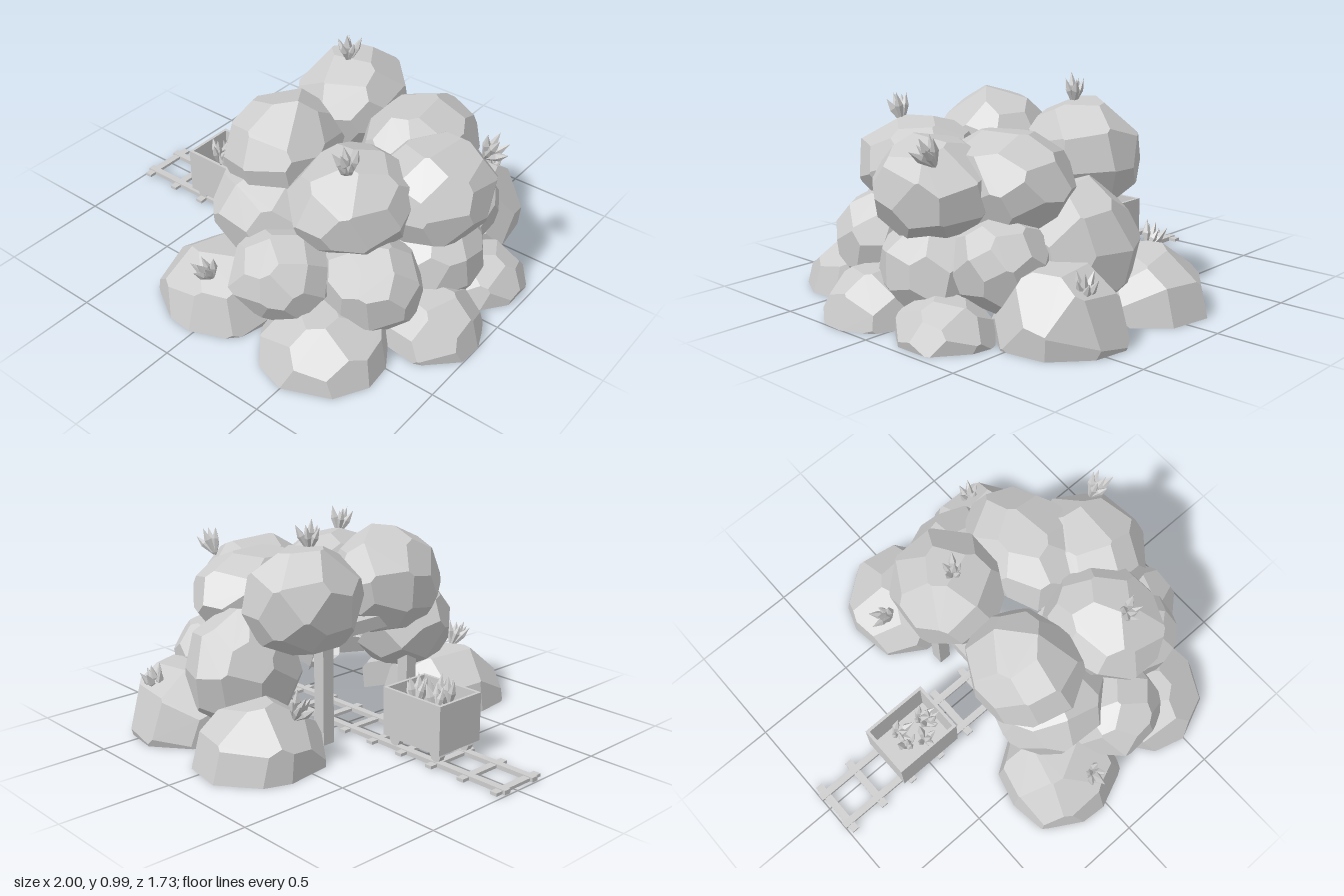
import * as THREE from 'three';
import { ConvexGeometry } from 'three/addons/geometries/ConvexGeometry.js';

const material = new THREE.MeshStandardMaterial({ color: 0xcccccc, flatShading: true });
const openMaterial = new THREE.MeshStandardMaterial({ color: 0xcccccc, flatShading: true, side: THREE.DoubleSide });

// Small seeded generator
let seed = 11;
const rand = () => {
  seed = (seed * 16807) % 2147483647;
  return seed / 2147483647;
};
const vary = (a) => (rand() - 0.5) * 2 * a;

function add(parent, name, geometry, x = 0, y = 0, z = 0) {
  const mesh = new THREE.Mesh(geometry, material);
  mesh.name = name;
  mesh.position.set(x, y, z);
  parent.add(mesh);
  return mesh;
}
const box = (parent, name, w, h, d, x, y, z) =>
  add(parent, name, new THREE.BoxGeometry(w, h, d), x, y, z);

// Boulders: centre and radii
const boulders = [
  // ground ring
  [-0.06, 0.0, -0.58, 0.28, 0.27, 0.28],
  [-0.06, 0.0, 0.57, 0.28, 0.27, 0.28],
  [0.46, 0.03, -0.56, 0.27, 0.29, 0.27],
  [0.5, 0.0, 0.57, 0.28, 0.23, 0.28],
  [0.77, 0.0, -0.22, 0.2, 0.18, 0.21],
  [0.78, 0.0, 0.19, 0.22, 0.22, 0.22],
  // middle ring
  [0.27, 0.3, 0.56, 0.22, 0.19, 0.21],
  [0.58, 0.28, 0.36, 0.22, 0.21, 0.2],
  [0.64, 0.23, -0.02, 0.22, 0.22, 0.24],
  [0.55, 0.28, -0.32, 0.2, 0.2, 0.21],
  [0.22, 0.31, -0.43, 0.24, 0.28, 0.27],
  [0.04, 0.42, 0.37, 0.26, 0.22, 0.24],
  // crown
  [0.0, 0.64, -0.27, 0.24, 0.24, 0.27],
  [0.0, 0.64, 0.23, 0.24, 0.24, 0.27],
  [0.41, 0.58, -0.21, 0.24, 0.22, 0.31],
  [0.43, 0.59, 0.29, 0.25, 0.21, 0.28],
  [0.62, 0.56, -0.02, 0.26, 0.22, 0.28],
];
// Tunnel chamber inside the mound
const chamber = [0.35, 0.15, 0.02, 0.4, 0.4, 0.45];

const inside = ([cx, cy, cz, rx, ry, rz], p, scale) =>
  ((p.x - cx) / rx) ** 2 + ((p.y - cy) / ry) ** 2 + ((p.z - cz) / rz) ** 2 < scale * scale;

// Boulder shell: a sphere cut by spread-out planes
function boulderGeometry(boulder) {
  const [cx, cy, cz, rx, ry, rz] = boulder;
  const planes = [];
  const count = 32;
  const spin = new THREE.Quaternion().setFromEuler(new THREE.Euler(vary(3), vary(3), vary(3)));
  for (let i = 0; i < count; i++) {
    const y = 1 - (2 * i + 1) / count;
    const a = i * 2.39996;
    const s = Math.sqrt(1 - y * y);
    const n = new THREE.Vector3(s * Math.cos(a) + vary(0.13), y + vary(0.13), s * Math.sin(a) + vary(0.13));
    planes.push({ n: n.normalize().applyQuaternion(spin), d: 0.95 + vary(0.02) });
  }
  if (cy < ry) planes.push({ n: new THREE.Vector3(0, -1, 0), d: cy / ry });
  const points = [];
  const bc = new THREE.Vector3(), ca = new THREE.Vector3(), ab = new THREE.Vector3();
  for (let i = 0; i < planes.length; i++)
    for (let j = i + 1; j < planes.length; j++)
      for (let k = j + 1; k < planes.length; k++) {
        const [a, b, c] = [planes[i], planes[j], planes[k]];
        bc.crossVectors(b.n, c.n);
        const det = a.n.dot(bc);
        if (Math.abs(det) < 1e-4) continue;
        ca.crossVectors(c.n, a.n);
        ab.crossVectors(a.n, b.n);
        const p = new THREE.Vector3()
          .addScaledVector(bc, a.d / det)
          .addScaledVector(ca, b.d / det)
          .addScaledVector(ab, c.d / det);
        if (planes.every((q) => q.n.dot(p) < q.d + 1e-6)) points.push(p);
      }
  points.forEach((p) => p.set(cx + p.x * rx, cy + p.y * ry, cz + p.z * rz));

  // Leave out triangles on the ground, buried in other boulders or in the chamber
  const pos = new ConvexGeometry(points).attributes.position;
  const hidden = (p) => inside(chamber, p, 1) || boulders.some((b) => b !== boulder && inside(b, p, 0.9));
  const kept = [];
  for (let i = 0; i < pos.count; i += 3) {
    const corners = [0, 1, 2].map((k) => new THREE.Vector3().fromBufferAttribute(pos, i + k));
    if (corners.every((p) => p.y < 1e-4) || corners.every(hidden)) continue;
    corners.forEach((p) => kept.push(p.x, p.y, p.z));
  }
  const geometry = new THREE.BufferGeometry();
  geometry.setAttribute('position', new THREE.Float32BufferAttribute(kept, 3));
  geometry.computeVertexNormals();
  return geometry;
}

// Crystal shard: a slim five-sided blade, widest above the middle
const shardGeometry = new THREE.LatheGeometry(
  [[0, 0], [0.008, 0.015], [0.019, 0.085], [0, 0.145]].map(([x, y]) => new THREE.Vector2(x, y)), 5);

function crystals(parent, x, y, z, direction, count = 6) {
  const cluster = new THREE.Group();
  cluster.name = 'crystalCluster';
  cluster.position.set(x, y, z);
  cluster.quaternion.setFromUnitVectors(new THREE.Vector3(0, 1, 0), new THREE.Vector3(...direction).normalize());
  for (let i = 0; i < count; i++) {
    const shard = add(cluster, 'crystalShard', shardGeometry);
    const a = (i / (count - 1)) * Math.PI * 2;
    const tilt = i === 0 ? 0.1 : 0.4 + vary(0.1);
    shard.rotation.set(Math.cos(a) * tilt, 0, Math.sin(a) * tilt);
    shard.scale.setScalar(i === 0 ? 1 : 0.92 + vary(0.12));
  }
  parent.add(cluster);
}

export function createModel() {
  seed = 11;
  const model = new THREE.Group();
  model.name = 'rockMine';

  // Rock mound
  const rocks = new THREE.Group();
  rocks.name = 'rockMound';
  model.add(rocks);
  for (const b of boulders) add(rocks, 'boulder', boulderGeometry(b)).material = openMaterial;

  // Crystals growing on the rocks
  crystals(model, 0, 0.85, -0.23, [0, 1, 0]);
  crystals(model, 0.46, 0.76, 0.36, [0, 1, 0.35]);
  crystals(model, 0.76, 0.69, -0.17, [0.6, 1, 0]);
  crystals(model, -0.19, 0.2, -0.49, [-0.65, 1, -0.1]);
  crystals(model, 0, 0.21, 0.7, [-0.1, 1, 0.55]);
  crystals(model, 0.5, 0.18, -0.7, [0.1, 1, -0.3]);

  // Timber frame of the entrance
  const frame = new THREE.Group();
  frame.name = 'entranceFrame';
  model.add(frame);
  for (const z of [-0.24, 0.28]) box(frame, 'post', 0.06, 0.48, 0.06, -0.1, 0.24, z);
  box(frame, 'lintel', 0.06, 0.06, 0.58, -0.1, 0.5, 0.02);

  // Track
  const track = new THREE.Group();
  track.name = 'track';
  model.add(track);
  for (const z of [-0.065, 0.11]) box(track, 'rail', 1.58, 0.02, 0.033, -0.21, 0.015, z);
  for (let i = 0; i < 9; i++) box(track, 'tie', 0.035, 0.014, 0.28, -0.97 + i * 0.177, 0.014, 0.022);

  // Mine cart
  const cart = new THREE.Group();
  cart.name = 'mineCart';
  cart.position.set(-0.497, 0, 0.026);
  model.add(cart);
  box(cart, 'cartFloor', 0.33, 0.02, 0.256, 0, 0.08, 0);
  for (const s of [-1, 1]) {
    box(cart, 'cartSide', 0.33, 0.21, 0.014, 0, 0.185, s * 0.121);
    box(cart, 'cartEnd', 0.014, 0.21, 0.228, s * 0.158, 0.185, 0);
    for (const t of [-1, 1]) {
      const wheel = add(cart, 'wheel', new THREE.CylinderGeometry(0.03, 0.03, 0.03, 8), s * 0.12, 0.052, t * 0.088);
      wheel.rotation.x = Math.PI / 2;
    }
  }
  // Crystal load
  for (const [x, z] of [[-0.07, -0.05], [-0.06, 0.04], [0.02, 0.06], [0.06, -0.04], [0.08, 0.01]])
    crystals(cart, x, 0.2 + vary(0.01), z, [vary(0.4), 1, vary(0.4)], 5);

  return model;
}
